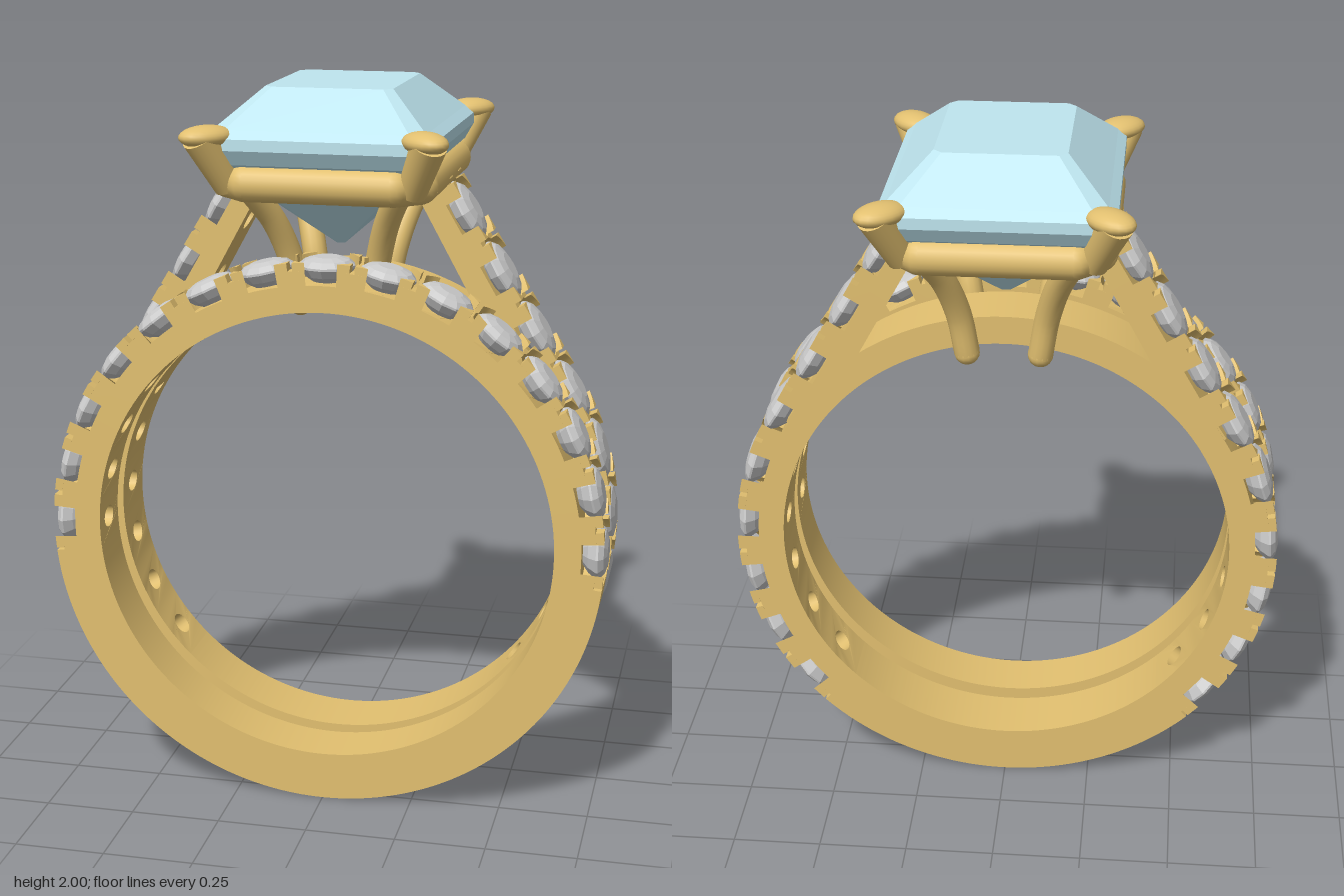
import * as THREE from 'three';
import { mergeGeometries, toCreasedNormals } from 'three/addons/utils/BufferGeometryUtils.js';

const gold = new THREE.MeshStandardMaterial({ color: 0xe2c070 });
const clear = new THREE.MeshStandardMaterial({ color: 0xcccccc, flatShading: true });
const blue = new THREE.MeshStandardMaterial({ color: 0xbfe6f0, flatShading: true });

const CY = 0.776, RO = 0.775, RI = 0.64, DEPTH = RO - RI, SEAT = -0.062;
const TANGENT = 0.55; // angle where the shoulders leave the circle

function add(parent, name, geo, mat) {
  const m = new THREE.Mesh(geo, mat);
  m.name = name;
  parent.add(m);
  return m;
}

// Outer edge of a band by arc length: point and direction of the outward normal
const circlePath = s => ({ x: RO * Math.cos(s / RO), y: CY + RO * Math.sin(s / RO), a: s / RO, k: 1 });
function shoulderPath(s) {
  const a = TANGENT + Math.min(s, 0) / RO, t = Math.max(s, 0);
  return {
    x: RO * Math.cos(a) - t * Math.sin(a),
    y: CY + RO * Math.sin(a) + t * Math.cos(a),
    a, k: 1 - 0.35 * t
  };
}

// Bends a flat plate (x along the band, y across it, z outward) onto a path
function bend(geo, path) {
  const p = geo.attributes.position;
  for (let i = 0; i < p.count; i++) {
    const f = path(p.getX(i)), h = p.getZ(i) * f.k;
    p.setXYZ(i, f.x + h * Math.cos(f.a), f.y + h * Math.sin(f.a), p.getY(i));
  }
  return geo;
}

function plate(shape, from, to) {
  return new THREE.ExtrudeGeometry(shape, { depth: to - from, bevelEnabled: false, curveSegments: 10 })
    .translate(0, 0, from);
}

// One pierced cell of the band beneath a stone
function cell(s, pitch, w) {
  const n = 6, pts = [];
  for (let i = 0; i <= n; i++) pts.push(new THREE.Vector2(s + pitch * (i / n - 0.5), -w));
  for (let i = n; i >= 0; i--) pts.push(new THREE.Vector2(s + pitch * (i / n - 0.5), w));
  const shape = new THREE.Shape(pts);
  shape.holes.push(new THREE.Path().absarc(s, 0, 0.037, 0, Math.PI * 2, true));
  return plate(shape, -DEPTH, SEAT);
}

// Scalloped wall between two stones: a solid foot with a split tip, on both edges
function walls(s, pitch, w, open) {
  const R = Math.hypot(w, open), z0 = Math.sqrt(Math.max(0, R * R - pitch * pitch / 4));
  const out = [];
  for (const side of [-1, 1]) {
    for (const half of [-1, 1]) {
      for (const [gap, from, to] of [[0, SEAT - 0.005, -0.022], [0.007, -0.022, 0]]) {
        const pts = [];
        for (let i = 0; i <= 6; i++) {
          const z = z0 + (w - z0) * i / 6;
          const x = pitch / 2 - Math.sqrt(R * R - z * z);
          if (x > gap) pts.push(new THREE.Vector2(s + half * x, side * z));
        }
        pts.push(new THREE.Vector2(s + half * gap, side * w));
        pts.push(new THREE.Vector2(s + half * gap, side * (z0 + (gap ? 0.02 : 0))));
        out.push(plate(new THREE.Shape(pts), from, to));
      }
    }
  }
  return out;
}

// Round faceted stone with its table at y = 0
function stoneGeometry(r) {
  const profile = [[0, -0.082], [0.45, -0.066], [0.78, -0.047], [1, -0.024], [1, -0.018], [0.8, -0.004], [0.45, 0.004], [0, 0.004]];
  return new THREE.LatheGeometry(profile.map(([x, y]) => new THREE.Vector2(x * r, y)), 12);
}

// Row of set stones from index i0 to i1 along a path
function stoneRow(path, i0, i1, pitch, w, open) {
  const g = new THREE.Group(), metal = [], stone = stoneGeometry(w);
  for (let i = i0; i <= i1; i++) {
    metal.push(cell(i * pitch, pitch, w));
    metal.push(...walls((i + 0.5) * pitch, pitch, w, open));
    const f = path(i * pitch);
    const m = add(g, 'accentStone', stone, clear);
    m.position.set(f.x, f.y, 0);
    m.rotation.z = f.a - Math.PI / 2;
  }
  metal.push(...walls((i0 - 0.5) * pitch, pitch, w, open));
  const geo = bend(mergeGeometries(metal), path);
  add(g, 'scallopedSetting', toCreasedNormals(geo, 0.5), gold);
  return g;
}

// Plain section of a band between two angles
function plainArc(a0, a1, ro, w) {
  const s = new THREE.Shape();
  s.absarc(0, 0, ro, a0, a1, false);
  s.absarc(0, 0, RI, a1, a0, true);
  const geo = new THREE.ExtrudeGeometry(s, { depth: 2 * w, bevelEnabled: false, curveSegments: 56 });
  return toCreasedNormals(geo.translate(0, CY, -w), 0.5);
}

function rod(parent, name, a, b, r0, r1) {
  const d = b.clone().sub(a);
  const m = add(parent, name, new THREE.CylinderGeometry(r1, r0, d.length(), 20), gold);
  m.position.copy(a).addScaledVector(d, 0.5);
  m.quaternion.setFromUnitVectors(new THREE.Vector3(0, 1, 0), d.normalize());
}

// Corners of a rectangle with cut corners
function octagon(x, z, c) {
  return [[x, z - c], [x - c, z], [c - x, z], [-x, z - c], [-x, c - z], [c - x, -z], [x - c, -z], [x, c - z]];
}

// Step-cut gem lofted from octagons, bottom to top
function gemGeometry() {
  const levels = [[1.56, 0.012, 0.05], [1.69, 0.16, 0.19], [1.81, 0.285, 0.345], [1.85, 0.306, 0.37],
    [1.88, 0.306, 0.37], [1.9, 0.282, 0.345], [2.0, 0.172, 0.213]];
  const pos = [], idx = [];
  for (const [y, x, z] of levels) for (const [px, pz] of octagon(x, z, x * 0.13)) pos.push(px, y, pz);
  const top = (levels.length - 1) * 8;
  for (let l = 0; l < levels.length - 1; l++) {
    for (let i = 0; i < 8; i++) {
      const a = l * 8 + i, b = l * 8 + (i + 1) % 8;
      idx.push(a, a + 8, b, b, a + 8, b + 8);
    }
  }
  for (let i = 1; i < 7; i++) idx.push(top, top + i + 1, top + i, 0, i, i + 1);
  const g = new THREE.BufferGeometry();
  g.setAttribute('position', new THREE.Float32BufferAttribute(pos, 3));
  g.setIndex(idx);
  // Corners run clockwise seen from above, so turn every face outward
  for (let i = 0; i < idx.length; i += 3) {
    const [a, b, c] = [0, 1, 2].map(k => new THREE.Vector3().fromArray(pos, idx[i + k] * 3));
    const n = b.clone().sub(a).cross(c.clone().sub(a));
    if (n.dot(a.add(b).add(c).divideScalar(3).sub(new THREE.Vector3(0, 1.84, 0))) < 0) {
      [idx[i + 1], idx[i + 2]] = [idx[i + 2], idx[i + 1]];
    }
  }
  g.setIndex(idx);
  const flat = g.toNonIndexed();
  flat.computeVertexNormals();
  return flat;
}

export function createModel() {
  const model = new THREE.Group();
  model.name = 'ringSet';

  // Slim front band with stones over its upper half
  const front = new THREE.Group();
  front.name = 'frontBand';
  front.position.z = 0.2175;
  const pitch = RO * Math.PI / 14, end = Math.PI / 28;
  front.add(stoneRow(circlePath, 0, 14, pitch, 0.0775, 0.045));
  add(front, 'plainShank', plainArc(Math.PI + end, Math.PI * 2 - end, RO, 0.0775), gold);
  model.add(front);

  // Main band: stone rows rise into straight shoulders on both sides
  const main = new THREE.Group();
  main.name = 'mainBand';
  for (const turn of [0, Math.PI]) {
    const row = stoneRow(shoulderPath, -5, 3, 0.19, 0.088, 0.045);
    row.name = turn ? 'rightShoulder' : 'leftShoulder';
    row.rotation.y = turn;
    main.add(row);
  }
  const low = TANGENT - 5.5 * 0.19 / RO;
  add(main, 'plainShank', plainArc(Math.PI - low, Math.PI * 2 + low, RO, 0.088), gold);
  add(main, 'archUnderHead', plainArc(TANGENT, Math.PI - TANGENT, 0.72, 0.087), gold);
  model.add(main);

  // Head: rail, legs and claws around the centre gem
  const head = new THREE.Group();
  head.name = 'head';
  const rail = octagon(0.258, 0.318, 0.06).map(([x, z]) => new THREE.Vector3(x, 1.76, z));
  rail.forEach((p, i) => {
    rod(head, 'rail', p, rail[(i + 1) % 8], 0.05, 0.05);
    add(head, 'railJoint', new THREE.SphereGeometry(0.05, 16, 12), gold).position.copy(p);
  });
  for (const sx of [-1, 1]) {
    for (const sz of [-1, 1]) {
      const v = (x, y, z) => new THREE.Vector3(sx * x, y, sz * z);
      const curve = new THREE.CatmullRomCurve3([v(0.1, 1.4, 0.112), v(0.12, 1.52, 0.13), v(0.155, 1.64, 0.185), v(0.21, 1.75, 0.27)]);
      add(head, 'leg', new THREE.TubeGeometry(curve, 20, 0.035, 14), gold);
      add(head, 'legFoot', new THREE.SphereGeometry(0.035, 14, 10), gold).position.copy(v(0.1, 1.4, 0.112));
      rod(head, 'claw', v(0.245, 1.75, 0.305), v(0.302, 1.885, 0.375), 0.04, 0.048);
      const tip = add(head, 'clawTip', new THREE.SphereGeometry(1, 20, 14), gold);
      tip.scale.set(0.078, 0.03, 0.052);
      tip.position.copy(v(0.288, 1.885, 0.36));
      tip.rotation.y = -sx * sz * Math.PI / 4;
    }
  }
  add(head, 'centreGem', gemGeometry(), blue);
  model.add(head);
  return model;
}
